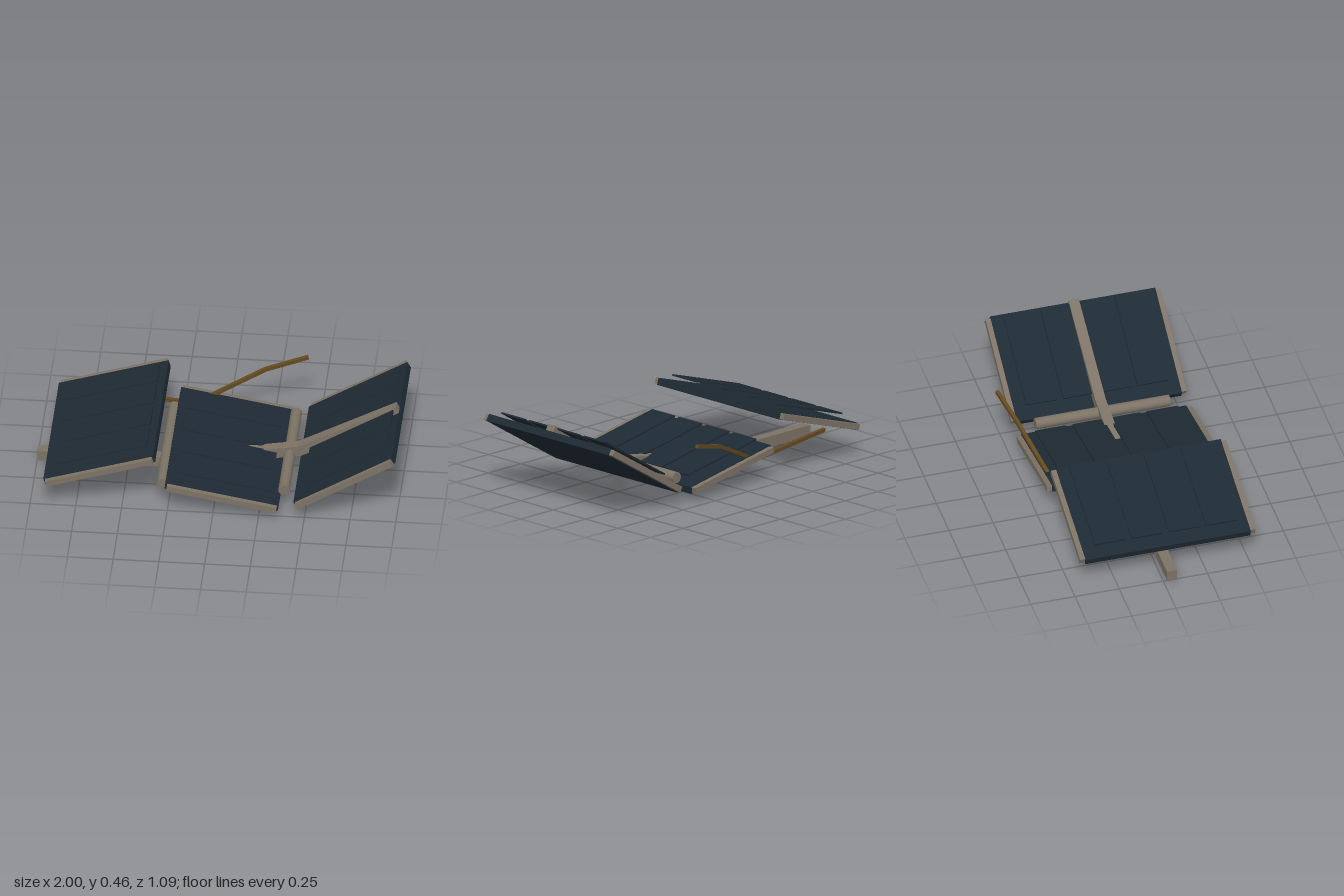
import * as THREE from 'three';

const mat = (name, color) => {
  const m = new THREE.MeshStandardMaterial({ color });
  m.name = name;
  return m;
};

// Mitred rectangular bar following a path of [x, y, z] points
function barGeometry(path, width, height) {
  const pts = path.map(p => new THREE.Vector3(...p));
  const pos = [], idx = [];
  pts.forEach((p, i) => {
    const before = pts[Math.max(i - 1, 0)], after = pts[Math.min(i + 1, pts.length - 1)];
    const a = p.clone().sub(before).normalize(), b = after.clone().sub(p).normalize();
    const t = a.clone().add(b).normalize();
    const stretch = 1 / Math.max(a.dot(t), b.dot(t));
    const side = new THREE.Vector3().crossVectors(t, new THREE.Vector3(0, 1, 0)).normalize();
    const up = new THREE.Vector3().crossVectors(side, t).multiplyScalar(stretch);
    for (const [s, u] of [[-1, -1], [1, -1], [1, 1], [-1, 1]]) {
      const v = p.clone().addScaledVector(side, s * width / 2).addScaledVector(up, u * height / 2);
      pos.push(v.x, v.y, v.z);
    }
  });
  for (let i = 0; i < pts.length - 1; i++) {
    for (let k = 0; k < 4; k++) {
      const a = i * 4 + k, b = i * 4 + (k + 1) % 4;
      idx.push(a, b + 4, b, a, a + 4, b + 4);
    }
  }
  const e = (pts.length - 1) * 4;
  idx.push(0, 1, 2, 0, 2, 3, e, e + 2, e + 1, e, e + 3, e + 2);
  const g = new THREE.BufferGeometry();
  g.setAttribute('position', new THREE.Float32BufferAttribute(pos, 3));
  g.setIndex(idx);
  const flat = g.toNonIndexed();
  flat.computeVertexNormals();
  return flat;
}

export function createModel() {
  const model = new THREE.Group();
  model.name = 'brokenPanels';
  const panelMat = mat('dark slate panel', 0x1e2a34);
  const beamMat = mat('weathered beige', 0x7d7366);
  const rodMat = mat('rusty brown', 0x644a20);
  const Z = 0.0495; // shared centre line

  const add = (parent, name, geometry, material, x, y, z) => {
    const mesh = new THREE.Mesh(geometry, material);
    mesh.name = name;
    mesh.position.set(x, y, z);
    parent.add(mesh);
    return mesh;
  };

  // Three tilted panels, each with end rails and four raised thin plates
  const panels = [
    ['rightPanel', -0.62, 0.253, 17.2],
    ['middlePanel', 0.049, 0.118, -10.2],
    ['leftPanel', 0.72, 0.253, 31.2],
  ];
  for (const [name, x, y, degrees] of panels) {
    const tilt = THREE.MathUtils.degToRad(degrees);
    const group = new THREE.Group();
    group.name = name;
    group.position.set(x, y, Z);
    model.add(group);
    add(group, 'slab', new THREE.BoxGeometry(0.628, 0.04, 0.934), panelMat, 0, 0, 0).rotation.z = tilt;
    for (const s of [-1, 1]) {
      add(group, 'rail', new THREE.BoxGeometry(0.609, 0.033, 0.03), beamMat, 0, 0, s * 0.481).rotation.z = tilt;
    }
    for (let i = 0; i < 4; i++) {
      const plate = new THREE.BoxGeometry(0.532, 0.009, 0.174);
      add(group, 'plate', plate, panelMat, 0, 0.055, (i - 1.5) * 0.21).rotation.z = tilt;
    }
  }

  // Bent main beam
  const beam = barGeometry([[-1, 0.03, Z], [-0.25, 0.03, Z], [0.435, 0.147, Z], [0.975, 0.438, Z]], 0.058, 0.06);
  add(model, 'mainBeam', beam, beamMat, 0, 0, 0);

  // Hinge rollers between the panels
  for (const x of [-0.286, 0.381]) {
    const roller = new THREE.CylinderGeometry(0.031, 0.031, 0.76, 16);
    add(model, 'hingeRoller', roller, beamMat, x, 0.123, Z - 0.003).rotation.x = Math.PI / 2;
  }

  // Bent rod sticking out at the back
  const rod = barGeometry([[-0.71, 0.178, -0.376], [-0.18, 0.118, -0.376], [0.2, 0.295, -0.482], [0.428, 0.352, -0.535]], 0.02, 0.02);
  add(model, 'bentRod', rod, rodMat, 0, 0, 0);

  return model;
}
